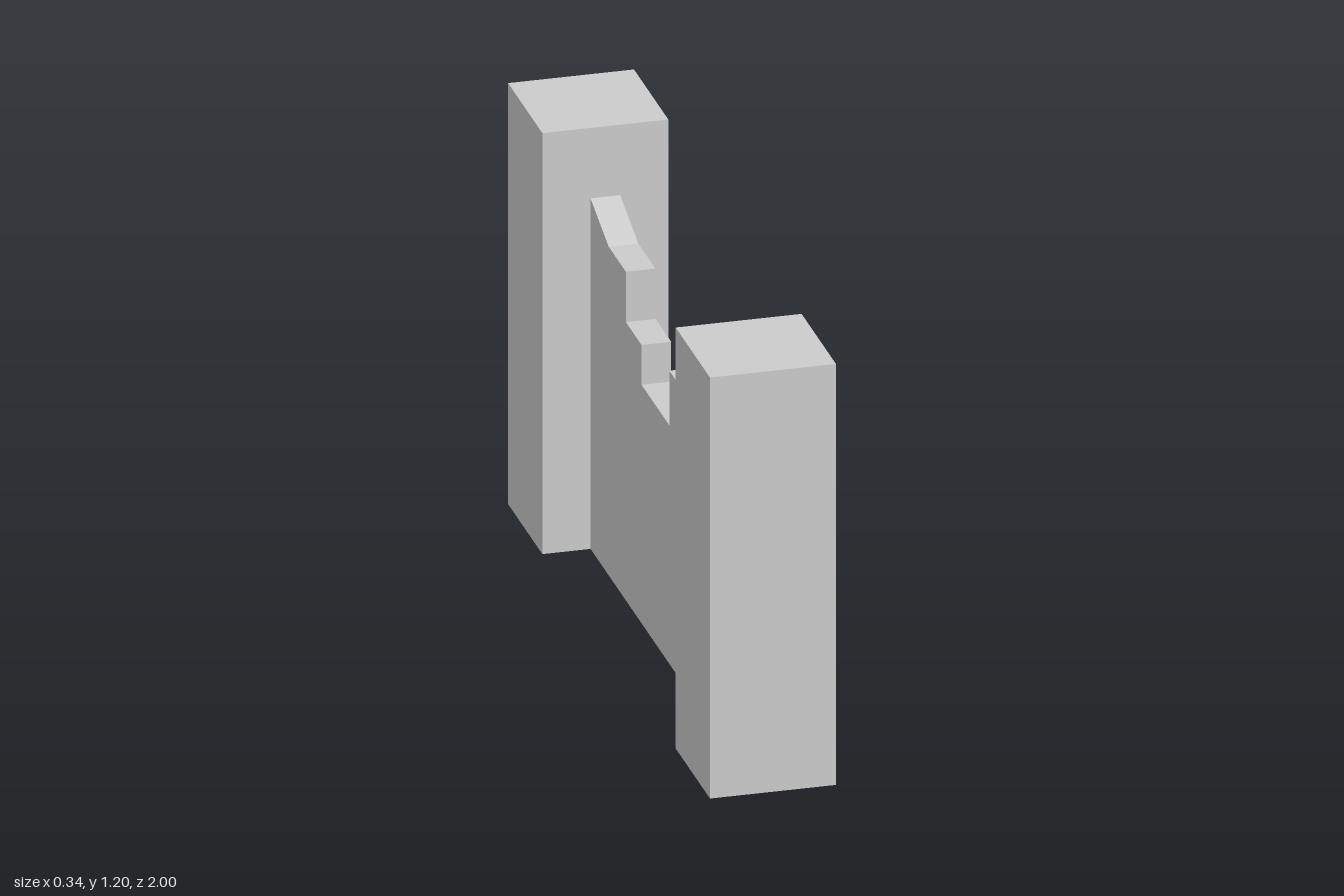
import * as THREE from 'three';

export function createModel() {
  const group = new THREE.Group();
  const material = new THREE.MeshStandardMaterial({ color: 0xcccccc, flatShading: true });

  // Square pillars at both ends
  const size = 0.34, height = 1.195;
  for (const side of [1, -1]) {
    const pillar = new THREE.Mesh(new THREE.BoxGeometry(size, height, size), material);
    pillar.name = side > 0 ? 'frontPillar' : 'backPillar';
    pillar.position.set(0, height / 2, side * (1 - size / 2));
    group.add(pillar);
  }

  // Thin wall with a broken, stepped top edge, drawn as (z, y)
  const outline = [
    [-0.66, 0], [0.66, 0], [0.66, 0.995], [0.41, 0.912], [0.255, 0.912],
    [0.255, 0.832], [0.12, 0.832], [0.12, 0.677], [-0.155, 0.677],
    [-0.155, 0.79], [-0.31, 0.79], [-0.31, 0.933], [-0.48, 0.933], [-0.66, 0.995],
  ].map(([z, y]) => new THREE.Vector2(z, y));
  const thickness = 0.08;
  const wallGeometry = new THREE.ExtrudeGeometry(new THREE.Shape(outline), {
    depth: thickness, bevelEnabled: false,
  });
  wallGeometry.translate(0, 0, -thickness / 2);
  wallGeometry.rotateY(-Math.PI / 2); // shape x becomes z
  const wall = new THREE.Mesh(wallGeometry, material);
  wall.name = 'brokenWall';
  group.add(wall);

  return group;
}
